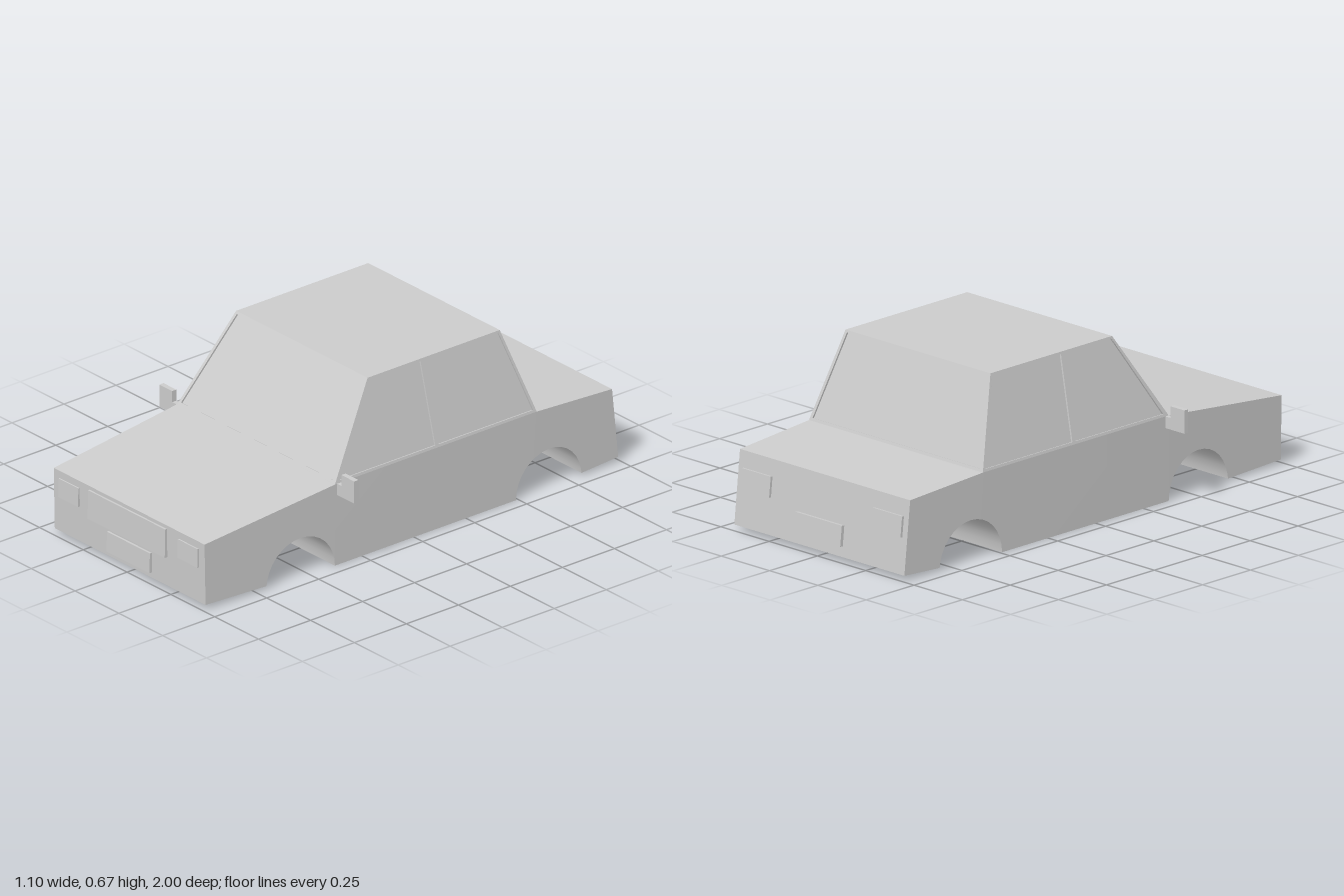
import * as THREE from 'three';
import { toCreasedNormals } from 'three/addons/utils/BufferGeometryUtils.js';

const V = (x, y, z) => new THREE.Vector3(x, y, z);
const material = new THREE.MeshStandardMaterial({ color: 0xcccccc, side: THREE.DoubleSide });

function addMesh(parent, name, geometry) {
  const mesh = new THREE.Mesh(geometry, material);
  mesh.name = name;
  parent.add(mesh);
  return mesh;
}

// Piecewise linear lookup along z; the points run from front to back
function along(points, z) {
  for (let i = 1; i < points.length; i++) {
    const [z0, v0] = points[i - 1], [z1, v1] = points[i];
    if (z >= z1) return THREE.MathUtils.mapLinear(Math.min(z, z0), z0, z1, v0, v1);
  }
  return points[points.length - 1][1];
}

function quadsGeometry(quads) {
  const p = [];
  for (const [a, b, c, d] of quads) for (const v of [a, b, c, a, c, d]) p.push(v.x, v.y, v.z);
  const g = new THREE.BufferGeometry();
  g.setAttribute('position', new THREE.Float32BufferAttribute(p, 3));
  return toCreasedNormals(g, 0.5);
}

// Lower body: rectangular sections from front to back, with the arches cut in the floor line
function lowerBody() {
  const topLine = [[0.99, 0.265], [0.38, 0.33], [-0.589, 0.33], [-0.96, 0.305]];
  const widthLine = [[0.99, 0.43], [0.38, 0.45], [-0.589, 0.45], [-0.98, 0.44]];
  const stations = [[0.99, 0.985, 0.018]]; // top z, floor z, floor y
  const R = 0.16, N = 16;
  for (const centre of [0.54, -0.65]) {
    for (let i = 0; i <= N; i++) {
      const t = (i / N) * Math.PI;
      const z = centre + R * Math.cos(t);
      const outerEnd = centre > 0 ? i === 0 : i === N;
      stations.push([z, z, outerEnd ? 0.011 : R * Math.sin(t)]);
    }
  }
  stations.push([-0.96, -0.99, 0.02]);

  const rings = stations.map(([zt, zb, y]) => {
    const wt = along(widthLine, zt), wb = along(widthLine, zb), top = along(topLine, zt);
    return [V(-wb, y, zb), V(wb, y, zb), V(wt, top, zt), V(-wt, top, zt)];
  });
  const quads = [rings[0], [...rings[rings.length - 1]].reverse()];
  for (let i = 0; i + 1 < rings.length; i++) {
    const f = rings[i], b = rings[i + 1];
    for (let j = 0; j < 4; j++) {
      const k = (j + 1) % 4;
      quads.push([f[j], b[j], b[k], f[k]]);
    }
  }
  return quadsGeometry(quads);
}

// One cabin wall: a thin frame with openings and glass set back in them.
// Corners run counter-clockwise from outside; openings use 0..1 wall coordinates.
function cabinWall(name, [a, b, c, d], openings) {
  const wall = new THREE.Group();
  wall.name = name;
  const u = b.clone().sub(a).normalize();
  const n = u.clone().cross(d.clone().sub(a)).normalize();
  const v = n.clone().cross(u);
  const flat = (p) => {
    const q = p.clone().sub(a);
    return new THREE.Vector2(q.dot(u), q.dot(v));
  };
  const at = ([s, t]) => flat(a.clone().lerp(b, s).lerp(d.clone().lerp(c, s), t));

  const outline = new THREE.Shape([a, b, c, d].map(flat));
  const holes = openings.map((o) => o.map(at));
  outline.holes = holes.map((h) => new THREE.Path(h));
  const frame = new THREE.ExtrudeGeometry(outline, { depth: 0.01, bevelEnabled: false });
  addMesh(wall, name + 'Frame', frame.translate(0, 0, -0.01));
  for (const h of holes) {
    addMesh(wall, name + 'Glass', new THREE.ShapeGeometry(new THREE.Shape(h)).translate(0, 0, -0.007));
  }
  wall.applyMatrix4(new THREE.Matrix4().makeBasis(u, v, n).setPosition(a));
  return wall;
}

function cabin() {
  const group = new THREE.Group();
  group.name = 'cabin';
  const ring = (x, y, front, rear) => [V(-x, y, front), V(x, y, front), V(x, y, rear), V(-x, y, rear)];
  const base = ring(0.45, 0.33, 0.38, -0.59);
  const roof = ring(0.375, 0.67, 0.16, -0.475);
  const wall = (i) => {
    const j = (i + 1) % 4;
    return [base[i], base[j], roof[j], roof[i]];
  };

  const screen = [[[0.014, 0.03], [0.986, 0.03], [0.984, 0.975], [0.016, 0.975]]];
  const doors = [
    [[0.02, 0.03], [0.498, 0.03], [0.402, 0.975], [0.016, 0.975]],
    [[0.514, 0.03], [0.988, 0.03], [0.986, 0.975], [0.426, 0.975]],
  ];
  const mirrored = doors.map((o) => o.map(([s, t]) => [1 - s, t]).reverse());
  group.add(
    cabinWall('windscreen', wall(0), screen),
    cabinWall('leftWindows', wall(1), doors),
    cabinWall('rearWindow', wall(2), screen),
    cabinWall('rightWindows', wall(3), mirrored),
  );
  addMesh(group, 'roof', quadsGeometry([roof]));
  return group;
}

// Thin raised plate on the nose or tail, leaning with the surface
function plate(parent, name, x, y, z, w, h, tilt) {
  const m = addMesh(parent, name, new THREE.BoxGeometry(w, h, 0.018));
  m.position.set(x, y, z);
  m.rotation.x = tilt;
}

// Flag-shaped door mirror with a short arm
function mirror(side) {
  const s = new THREE.Shape([[0, 0.285], [0.1, 0.285], [0.1, 0.375], [0.027, 0.375], [0.027, 0.33], [0, 0.33]]
    .map(([x, y]) => new THREE.Vector2(side * (0.448 + x), y)));
  return new THREE.ExtrudeGeometry(s, { depth: 0.02, bevelEnabled: false })
    .translate(0, 0, side > 0 ? 0.35 : 0.363);
}

export function createModel() {
  const car = new THREE.Group();
  car.name = 'car';
  addMesh(car, 'lowerBody', lowerBody());
  car.add(cabin());

  // Nose and tail details
  const noseTilt = -0.02, tailTilt = 0.105;
  plate(car, 'grille', -0.005, 0.193, 0.99, 0.44, 0.115, noseTilt);
  plate(car, 'frontPlate', 0.003, 0.08, 0.988, 0.245, 0.08, noseTilt);
  plate(car, 'rearPlate', 0.003, 0.1, -0.986, 0.24, 0.08, tailTilt);
  for (const side of [1, -1]) {
    const label = side > 0 ? 'left' : 'right';
    plate(car, label + 'Headlight', side * 0.34, 0.198, 0.987, 0.113, 0.075, noseTilt);
    plate(car, label + 'TailLight', side * 0.34, 0.2, -0.972, 0.15, 0.08, tailTilt);
    addMesh(car, label + 'Mirror', mirror(side));
  }
  return car;
}
